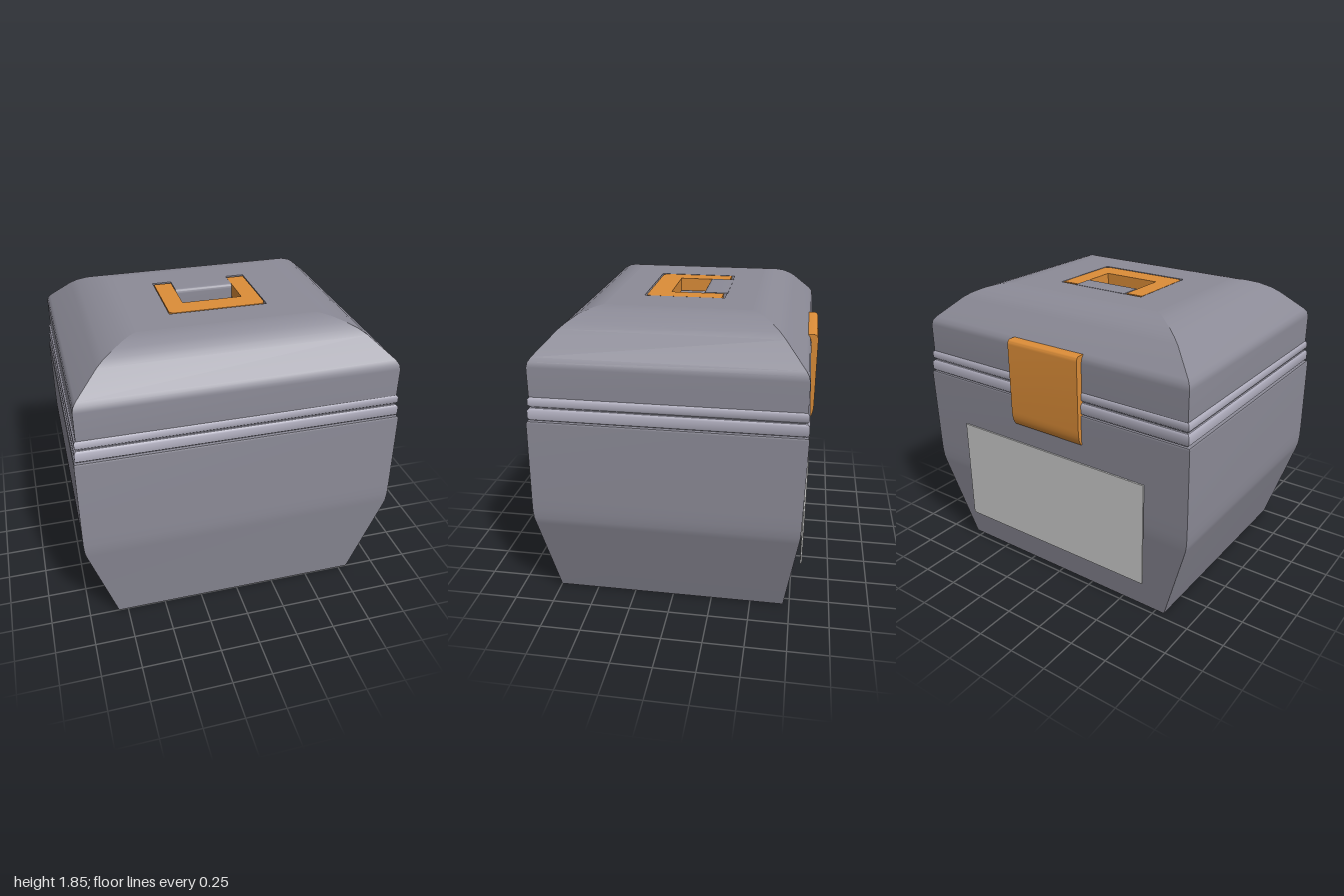
import * as THREE from 'three';
import { toCreasedNormals } from 'three/addons/utils/BufferGeometryUtils.js';

const mat = (color) => new THREE.MeshStandardMaterial({ color });
const shellMat = mat(0x8c8b97);
const ringMat = mat(0xb2b0c0);
const orangeMat = mat(0xdc8d38);
const labelMat = mat(0xcccccc);

// Rectangular loft; each ring is [y, halfWidth, zFront, zBack].
// Sides keep their own vertices, so they are smooth vertically and sharp at the corners.
function loft(rings, capTop = true, capBottom = true) {
  const pos = [], idx = [];
  const corners = ([y, x, f, b]) => [[-x, y, f], [x, y, f], [x, y, b], [-x, y, b]];
  for (let s = 0; s < 4; s++) {
    const start = pos.length / 3;
    rings.forEach((r) => {
      const c = corners(r);
      pos.push(...c[s], ...c[(s + 1) % 4]);
    });
    for (let i = 0; i < rings.length - 1; i++) {
      const a = start + i * 2;
      idx.push(a, a + 1, a + 3, a, a + 3, a + 2);
    }
  }
  const cap = (ring, up) => {
    const a = pos.length / 3;
    corners(ring).forEach((c) => pos.push(...c));
    idx.push(...(up ? [a, a + 1, a + 2, a, a + 2, a + 3] : [a, a + 2, a + 1, a, a + 3, a + 2]));
  };
  if (capTop) cap(rings[rings.length - 1], true);
  if (capBottom) cap(rings[0], false);
  const geo = new THREE.BufferGeometry();
  geo.setAttribute('position', new THREE.Float32BufferAttribute(pos, 3));
  geo.setIndex(idx);
  geo.computeVertexNormals();
  return geo;
}

// Profile drawn in (z, y), extruded across x and centred
function acrossX(shape, width) {
  const geo = new THREE.ExtrudeGeometry(shape, { depth: width, bevelEnabled: false, curveSegments: 8 });
  geo.translate(0, 0, -width / 2);
  geo.rotateY(-Math.PI / 2);
  return toCreasedNormals(geo, 0.6);
}

// Plan drawn in (x, -z), extruded upwards from y
function upwards(shape, y, options) {
  const geo = new THREE.ExtrudeGeometry(shape, { bevelEnabled: false, curveSegments: 6, ...options });
  geo.rotateX(-Math.PI / 2);
  geo.translate(0, y, 0);
  return toCreasedNormals(geo, 0.6);
}

const polygon = (pts, Type = THREE.Shape) => new Type(pts.map((p) => new THREE.Vector2(...p)));

export function createModel() {
  const model = new THREE.Group();
  const add = (name, geo, material) => {
    const mesh = new THREE.Mesh(geo, material);
    mesh.name = name;
    model.add(mesh);
    return mesh;
  };

  // Tapered container
  add('body', loft([
    [0, 0.81, 0.75, -0.71],
    [0.57, 0.985, 0.82, -0.785],
    [0.61, 0.994, 0.827, -0.79],
    [0.67, 0.998, 0.83, -0.793],
    [0.75, 0.999, 0.829, -0.795],
    [1.245, 0.999, 0.82, -0.805],
    [1.255, 0.994, 0.815, -0.80],
  ]), shellMat);

  // Seal core with two raised bands
  add('sealCore', loft([[1.24, 0.97, 0.79, -0.78], [1.41, 0.97, 0.79, -0.78]]), shellMat);
  [[1.26, 1.335, 0.99], [1.342, 1.402, 0.985]].forEach(([y0, y1, x], i) => {
    const zf = x - 0.178, zb = 0.187 - x, e = 0.012;
    add(`sealBand${i + 1}`, loft([
      [y0, x - e, zf - e, zb + e],
      [y0 + e, x, zf, zb],
      [y1 - e, x, zf, zb],
      [y1, x - e, zf - e, zb + e],
    ]), ringMat);
  });

  // Lid with sloped, rounded shoulders
  add('lid', loft([
    [1.40, 0.974, 0.80, -0.79],
    [1.58, 0.974, 0.80, -0.79],
    [1.61, 0.968, 0.792, -0.782],
    [1.635, 0.95, 0.775, -0.765],
    [1.76, 0.81, 0.655, -0.645],
    [1.79, 0.765, 0.618, -0.61],
    [1.82, 0.70, 0.57, -0.56],
    [1.84, 0.635, 0.515, -0.51],
    [1.848, 0.59, 0.475, -0.47],
    [1.85, 0.55, 0.445, -0.44],
  ], false), shellMat);

  // Flat lid top with the handle recess cut through it
  const top = polygon([[-0.55, -0.445], [0.55, -0.445], [0.55, 0.44], [-0.55, 0.44]]);
  top.holes.push(polygon([[-0.308, -0.25], [-0.308, 0.25], [0.308, 0.25], [0.308, -0.25]], THREE.Path));
  add('lidTop', upwards(top, 1.75, { depth: 0.1 }), shellMat);
  const floor = new THREE.PlaneGeometry(0.66, 0.54).rotateX(-Math.PI / 2);
  add('recessFloor', floor, shellMat).position.y = 1.755;

  // Rounded tongue between the handle arms
  const tongue = new THREE.Shape();
  tongue.moveTo(-0.255, 1.75);
  tongue.lineTo(-0.10, 1.75);
  tongue.lineTo(-0.10, 1.827);
  tongue.quadraticCurveTo(-0.10, 1.852, -0.125, 1.852);
  tongue.lineTo(-0.255, 1.852);
  add('recessTongue', acrossX(tongue, 0.375), shellMat);

  // U-shaped carrying handle lying flush in the recess
  const u = new THREE.Shape();
  u.moveTo(-0.303, 0.23);
  u.lineTo(-0.303, -0.20);
  u.quadraticCurveTo(-0.303, -0.24, -0.263, -0.24);
  u.lineTo(0.263, -0.24);
  u.quadraticCurveTo(0.303, -0.24, 0.303, -0.20);
  u.lineTo(0.303, 0.23);
  u.lineTo(0.19, 0.23);
  u.lineTo(0.19, -0.10);
  u.lineTo(-0.19, -0.10);
  u.lineTo(-0.19, 0.23);
  add('handle', upwards(u, 1.765, { depth: 0.084 }), orangeMat);

  // Hinge strap folded over the back edge
  const strap = new THREE.Shape();
  strap.moveTo(-0.765, 1.63);
  strap.lineTo(-0.81, 1.63);
  strap.quadraticCurveTo(-0.832, 1.628, -0.832, 1.59);
  strap.lineTo(-0.832, 1.16);
  strap.quadraticCurveTo(-0.831, 1.09, -0.805, 1.065);
  strap.lineTo(-0.785, 1.065);
  strap.lineTo(-0.785, 1.6);
  add('hingeStrap', acrossX(strap, 0.525), orangeMat);

  // Plain panel on the back
  const panel = add('backPanel', new THREE.BoxGeometry(1.42, 0.69, 0.01), labelMat);
  panel.position.set(0, 0.595, -0.809);

  return model;
}
